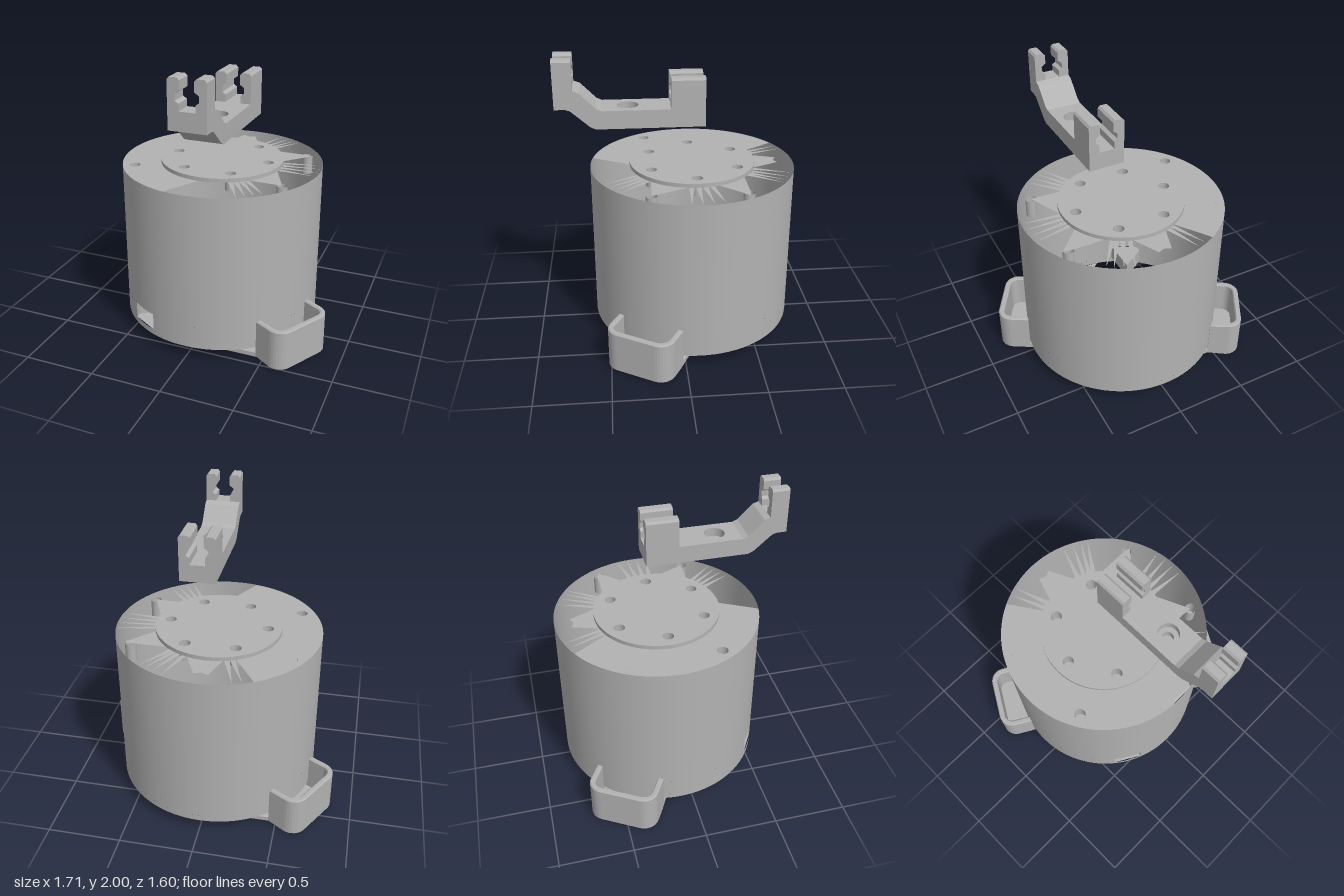
import * as THREE from 'three';

const CZ = -0.1; // z of the drum axis
const grey = new THREE.MeshStandardMaterial({ color: 0xb2b2b2, side: THREE.DoubleSide });
grey.name = 'grey';
const rad = THREE.MathUtils.degToRad;

export function createModel() {
  const root = new THREE.Group();
  const drum = new THREE.Group();
  const base = new THREE.Group();
  const bracket = new THREE.Group();
  drum.name = 'drum';
  base.name = 'base';
  bracket.name = 'bracket';
  drum.position.z = base.position.z = CZ;
  root.add(drum, base, bracket);

  const add = (parent, name, geo) => {
    const mesh = new THREE.Mesh(geo, grey);
    mesh.name = name;
    parent.add(mesh);
    return mesh;
  };
  const polygon = pts => new THREE.Shape(pts.map(p => new THREE.Vector2(p[0], p[1])));
  const hole = (shape, x, y, r) =>
    shape.holes.push(new THREE.Path().absarc(x, y, r, 0, Math.PI * 2, true));
  // Plan shapes use (x, -z) and rise from y0 to y1
  const slab = (shape, y0, y1, bevel = 0) => new THREE.ExtrudeGeometry(shape, {
    depth: y1 - y0 - 2 * bevel, curveSegments: 32, steps: 1, bevelEnabled: bevel > 0,
    bevelSize: bevel, bevelThickness: bevel, bevelOffset: -bevel, bevelSegments: 1,
  }).rotateX(-Math.PI / 2).translate(0, y0 + bevel, 0);
  const sheet = (shape, y) =>
    new THREE.ShapeGeometry(shape, 64).rotateX(-Math.PI / 2).translate(0, y, 0);
  // Screw hole lining, with a bottom unless it goes through
  const lining = (name, x, z, r, y0, y1, endY) => {
    add(drum, name, new THREE.CylinderGeometry(r, r, y1 - y0, 20, 1, true))
      .position.set(x, (y0 + y1) / 2, z);
    if (endY !== undefined) {
      add(drum, name + 'End', new THREE.CircleGeometry(r, 20).rotateX(-Math.PI / 2))
        .position.set(x, endY, z);
    }
  };

  // Drum wall, in three bands around the window
  const wall = (y0, y1, start, length) =>
    add(drum, 'drumWall', new THREE.CylinderGeometry(0.7, 0.7, y1 - y0, 96, 1, true, start, length))
      .position.set(0, (y0 + y1) / 2, 0);
  const w0 = Math.asin(-0.44 / 0.7), w1 = Math.asin(-0.26 / 0.7);
  wall(0.09, 0.13, w1, Math.PI * 2);
  wall(0.25, 1.2, w1, Math.PI * 2);
  wall(0.13, 0.25, w1, Math.PI * 2 - (w1 - w0));

  // Window recess with a slanted back
  const pocket = polygon([[-0.44, -0.545], [-0.44, -0.5], [-0.26, -0.38], [-0.26, -0.65]]);
  add(drum, 'windowFloor', sheet(pocket, 0.13));
  add(drum, 'windowCeiling', sheet(pocket, 0.25));
  const panel = (x0, z0, x1, z1) => {
    const m = add(drum, 'windowSide',
      new THREE.PlaneGeometry(Math.hypot(x1 - x0, z1 - z0), 0.12));
    m.position.set((x0 + x1) / 2, 0.19, (z0 + z1) / 2);
    m.rotation.y = -Math.atan2(z1 - z0, x1 - x0);
  };
  panel(-0.44, 0.5, -0.26, 0.38);
  panel(-0.44, 0.545, -0.44, 0.5);
  panel(-0.26, 0.65, -0.26, 0.38);

  // Partial top plate
  const cap = new THREE.Shape();
  cap.absarc(0, 0, 0.7, rad(119), rad(258), false);
  cap.absarc(0, 0, 0.42, rad(270), rad(116), true);
  cap.closePath();
  for (const y of [-0.31, 0.31]) hole(cap, -0.53, y, 0.037);
  add(drum, 'topPlate', sheet(cap, 1.198));
  for (const x of [-0.53, 0.53]) for (const z of [-0.31, 0.31]) {
    lining('topScrewHole', x, z, 0.037, 1.07, 1.198, 1.07);
  }

  // Plate remnants and thin spikes around the open side
  add(drum, 'topTab', sheet(polygon([[-0.11, 0.41], [0.13, 0.4], [0.04, 0.59], [0, 0.57], [-0.05, 0.59]]), 1.198));
  add(drum, 'topTab', sheet(polygon([[0.24, 0.32], [0.4, 0.13], [0.57, 0.31], [0.53, 0.32]]), 1.198));
  add(drum, 'topTab', sheet(polygon([[0.42, -0.06], [0.3, -0.3], [0.53, -0.31]]), 1.198));
  for (const deg of [113, 108, 70, 64, 59, 55, 12, 6, 0, -6, -47, -52, -57, -62]) {
    const at = (r, d) => [r * Math.cos(rad(d)), r * Math.sin(rad(d))];
    add(drum, 'topSpike', sheet(polygon([at(0.42, deg - 2.5), at(0.69, deg), at(0.42, deg + 2.5)]), 1.198));
  }

  // Raised round disc with six screw holes, one of them through
  const disc = new THREE.Shape().absarc(0, 0, 0.43, 0, Math.PI * 2, false);
  for (let i = 0; i < 6; i++) {
    const a = i * Math.PI / 3, x = 0.335 * Math.cos(a), y = 0.335 * Math.sin(a);
    hole(disc, x, y, 0.037);
    lining('discScrewHole', x, -y, 0.037, 1.11, 1.225, i === 1 ? undefined : 1.11);
  }
  add(drum, 'topDisc', slab(disc, 1.198, 1.225));

  // Underside remnant and screw sockets
  add(drum, 'floorTab', sheet(polygon([[-0.14, -0.685], [0, -0.7], [0.25, -0.65], [0.25, -0.5], [0, -0.55]]), 0.09));
  for (const deg of [20, 103, 200, 283]) {
    lining('floorSocket', 0.49 * Math.cos(rad(deg)), -0.49 * Math.sin(rad(deg)), 0.036, 0.085, 0.19, 0.19);
  }

  // Base: half outline turned through 180 degrees; lug points come from its own frame
  const C = Math.cos(Math.PI / 6), S = 0.5;
  const lugPoint = (n, t) => [n * C + t * S, -(n * S - t * C)];
  const lugCurve = (inset) => {
    const pts = [], r = 0.1 - inset;
    for (const [t, from] of [[0.14, 90], [-0.14, 0]]) {
      for (let i = 0; i <= 8; i++) {
        const a = rad(from - i * 90 / 8);
        pts.push(lugPoint(0.79 + r * Math.cos(a), t + r * Math.sin(a)));
      }
    }
    return pts;
  };
  const half = [[0.1, 0.17], [0.47, -0.01], lugPoint(0.69, 0.24), ...lugCurve(0),
    lugPoint(0.71, -0.235), [0.46, -0.53], [0.11, -0.53], [0.07, -0.5]];
  const plate = polygon([...half, ...half.map(p => [-p[0], -p[1]])]);
  for (const s of [-1, 1]) hole(plate, s * 0.15, -s * 0.43, 0.032);
  add(base, 'basePlate', slab(plate, 0, 0.05, 0.01));

  // Rounded U-shaped lugs at both ends
  const lug = polygon([lugPoint(0.66, 0.24), ...lugCurve(0), lugPoint(0.66, -0.24),
    lugPoint(0.66, -0.2), ...lugCurve(0.04).reverse(), lugPoint(0.66, 0.2)]);
  for (const turn of [0, Math.PI]) {
    add(base, 'lugWall', slab(lug, 0.01, 0.295, 0.008)).rotation.y = turn;
  }

  // Bracket bar with counterbored screw hole
  const X0 = 0.01, X1 = 0.255, XM = (X0 + X1) / 2;
  for (const [r, y0, y1] of [[0.037, 1.55, 1.61], [0.07, 1.61, 1.67]]) {
    const bar = polygon([[X0, 0.16], [X0, -0.5], [X1, -0.5], [X1, 0.16]]);
    hole(bar, XM, -0.335, r);
    add(bracket, 'bracketBar', slab(bar, y0, y1));
  }

  // Sloping neck, as a side profile of z and y
  const neck = polygon([[0.5, 1.55], [0.54, 1.55], [0.575, 1.565], [0.7, 1.675], [0.73, 1.685],
    [0.8, 1.685], [0.8, 1.805], [0.68, 1.805], [0.64, 1.79], [0.535, 1.685], [0.5, 1.67]]);
  add(bracket, 'bracketNeck', new THREE.ExtrudeGeometry(neck, { depth: X1 - X0, bevelEnabled: false })
    .rotateY(-Math.PI / 2).translate(X1, 0, 0));

  // Two snap clips, each with mirrored jaws
  const clip = (y, z0, z1) => {
    for (const s of [-1, 1]) {
      const jaw = polygon([[0.1225, 0], [0.1225, 0.185], [0.11, 0.2], [0.06, 0.2], [0.046, 0.185],
        [0.046, 0.125], [0.06, 0.115], [0.075, 0.105], [0.075, 0.065], [0.052, 0.05], [0.052, 0]]
        .map(([x, h]) => [XM + s * x, y + h]));
      add(bracket, 'clipJaw', new THREE.ExtrudeGeometry(jaw, { depth: z1 - z0, bevelEnabled: false })
        .translate(0, 0, z0));
    }
  };
  clip(1.8, 0.68, 0.8);
  clip(1.67, -0.16, 0.06);

  return root;
}
